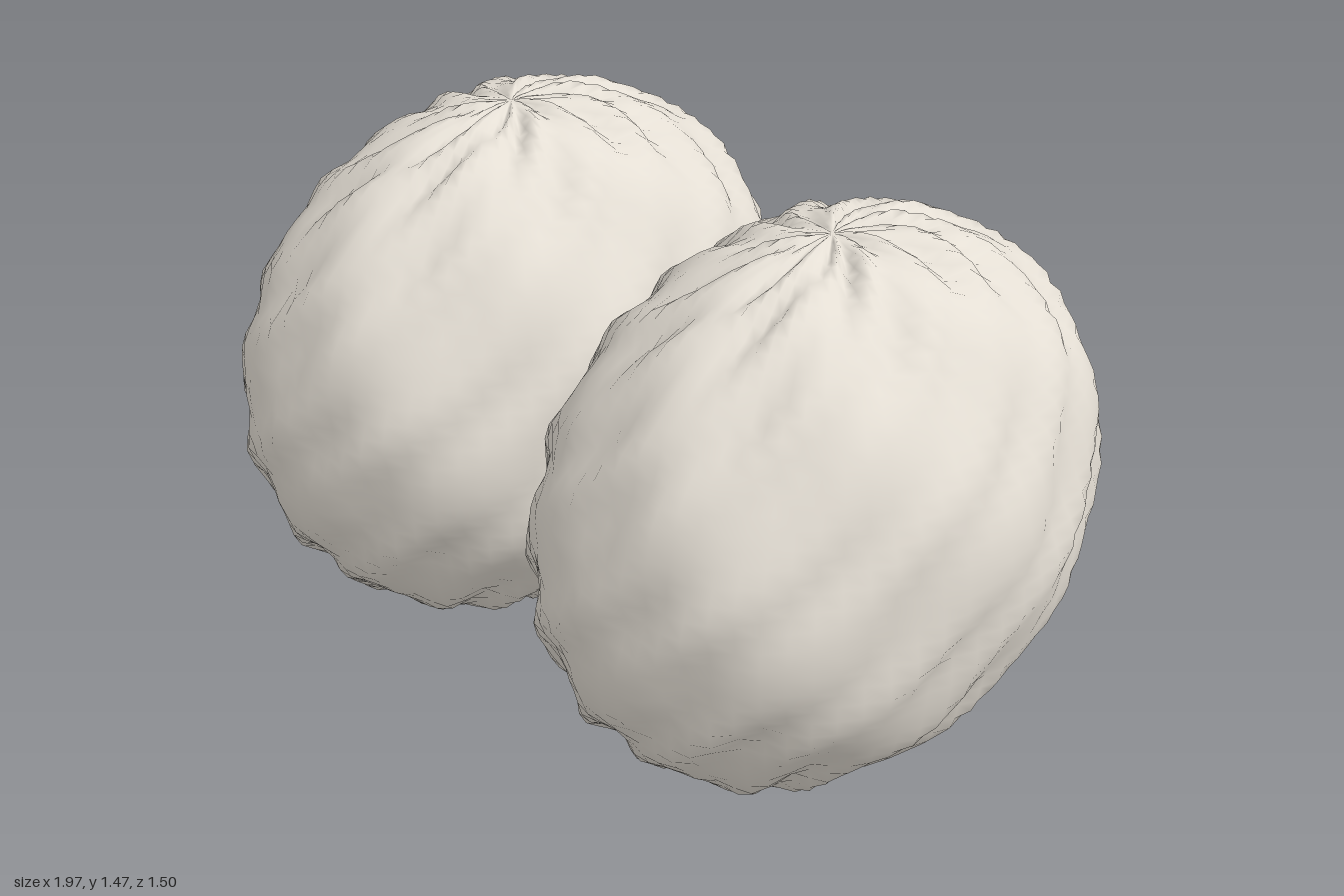
import * as THREE from 'three';
import { mergeVertices } from 'three/addons/utils/BufferGeometryUtils.js';

// Ellipsoid whose surface is pushed in and out by spiral folds.
function foldedEllipsoid(rx, ry, rz, folds) {
  const geo = new THREE.SphereGeometry(1, 72, 56);
  const pos = geo.attributes.position;
  const uv = geo.attributes.uv;
  for (let i = 0; i < pos.count; i++) {
    const v = (1 - uv.getY(i)) * Math.PI;
    const u = Math.atan2(pos.getZ(i), -pos.getX(i));
    const fade = Math.min(1, Math.sin(v) * 5); // folds meet at the poles
    let r = 1;
    for (const [amp, a, b, phase] of folds) r += fade * amp * Math.sin(a * u + b * v + phase);
    pos.setXYZ(i, pos.getX(i) * r * rx, pos.getY(i) * r * ry, pos.getZ(i) * r * rz);
  }
  // Weld the seam so shading stays smooth
  geo.deleteAttribute('uv');
  geo.deleteAttribute('normal');
  const welded = mergeVertices(geo, 1e-5);
  welded.computeVertexNormals();
  return welded;
}

function part(name, geometry, color) {
  const mesh = new THREE.Mesh(geometry, new THREE.MeshStandardMaterial({ color }));
  mesh.name = name;
  return mesh;
}

export function createModel() {
  const model = new THREE.Group();
  model.name = 'brain';

  // Two equal hemispheres; each fold is [amplitude, turns around, turns down, phase]
  const cortexFolds = [
    [0.017, 12, 14, 0.4],
    [0.010, 19, 9, 1.7],
    [0.010, 7, -6, 0.9],
    [0.007, 15, 26, 2.3],
  ];
  const cortex = foldedEllipsoid(0.5, 0.625, 0.72, cortexFolds);
  for (const [name, x] of [['leftHemisphere', 0.475], ['rightHemisphere', -0.475]]) {
    const half = part(name, cortex, 0xe4ded4);
    half.position.set(x, 0.84, 0);
    model.add(half);
  }

  // Flattened cerebellum tucked under the back
  const cerebellum = part('cerebellum',
    foldedEllipsoid(0.38, 0.2, 0.245, [[0.012, 14, 8, 0.3], [0.008, 9, -5, 1.2]]), 0xd3e2de);
  cerebellum.position.set(0, 0.345, -0.52);
  cerebellum.rotation.x = 0.3;
  model.add(cerebellum);

  // Tapered stem leaning forward at its top
  const stem = part('brainStem', new THREE.CylinderGeometry(0.133, 0.103, 0.43, 24), 0x86cac8);
  stem.position.set(0, 0.232, -0.273);
  stem.rotation.x = 0.22;
  model.add(stem);

  return model;
}
